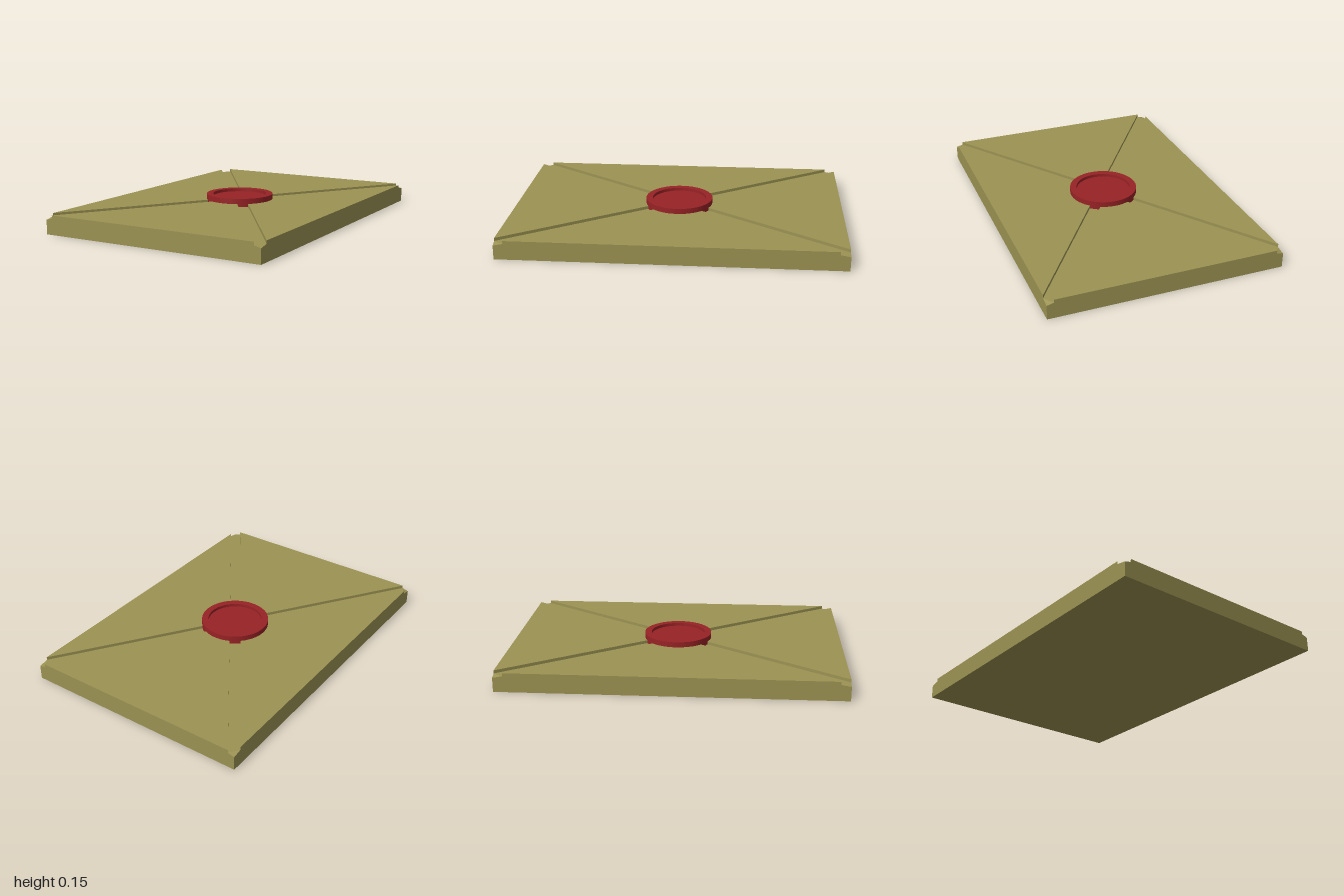
import * as THREE from 'three';
import { toCreasedNormals } from 'three/addons/utils/BufferGeometryUtils.js';
import { ConvexGeometry } from 'three/addons/geometries/ConvexGeometry.js';

const W = 0.695, D = 1;              // half width, half length
const FLOOR = 0.096, TOP = 0.114;    // groove floor and flap height
const CORNER = 0.085;                // height of the cut corners
const GX = 0.04, GZ = GX * D / W;    // groove half width along x and z

export function createModel() {
  const group = new THREE.Group();
  const paper = new THREE.MeshStandardMaterial({ color: 0x9b9252 });
  paper.name = 'olive paper';
  const wax = new THREE.MeshStandardMaterial({ color: 0x982225 });
  wax.name = 'red wax';

  const add = (name, geometry, material) => {
    const mesh = new THREE.Mesh(geometry, material);
    mesh.name = name;
    group.add(mesh);
  };

  // Body: a slab whose top corners slope down at the ends of the grooves
  const points = [];
  for (const sx of [-1, 1]) {
    for (const sz of [-1, 1]) {
      points.push(
        new THREE.Vector3(sx * W, 0, sz * D),
        new THREE.Vector3(sx * W, CORNER, sz * D),
        new THREE.Vector3(sx * (W - GX), FLOOR, sz * D),
        new THREE.Vector3(sx * W, FLOOR, sz * (D - GZ)),
      );
    }
  }
  add('envelopeBody', new ConvexGeometry(points), paper);

  // Four triangular flaps, leaving diagonal grooves between them
  const flap = (name, corners) => {
    const shape = new THREE.Shape(corners.map(([x, z]) => new THREE.Vector2(x, -z)));
    const geometry = new THREE.ExtrudeGeometry(shape, { depth: TOP - FLOOR, bevelEnabled: false });
    geometry.rotateX(-Math.PI / 2).translate(0, FLOOR, 0);
    add(name, geometry, paper);
  };
  for (const s of [1, -1]) {
    flap(s > 0 ? 'frontFlap' : 'backFlap', [[GX - W, s * D], [W - GX, s * D], [0, s * GZ]]);
    flap(s > 0 ? 'leftFlap' : 'rightFlap', [[s * W, GZ - D], [s * W, D - GZ], [s * GX, 0]]);
  }

  // Wax seal: a round disc with a raised rim
  const profile = [[0.205, FLOOR], [0.205, 0.146], [0.165, 0.146], [0.165, 0.128], [0, 0.128]]
    .map(([r, y]) => new THREE.Vector2(r, y));
  add('waxSeal', toCreasedNormals(new THREE.LatheGeometry(profile, 48), 0.6), wax);

  return group;
}
